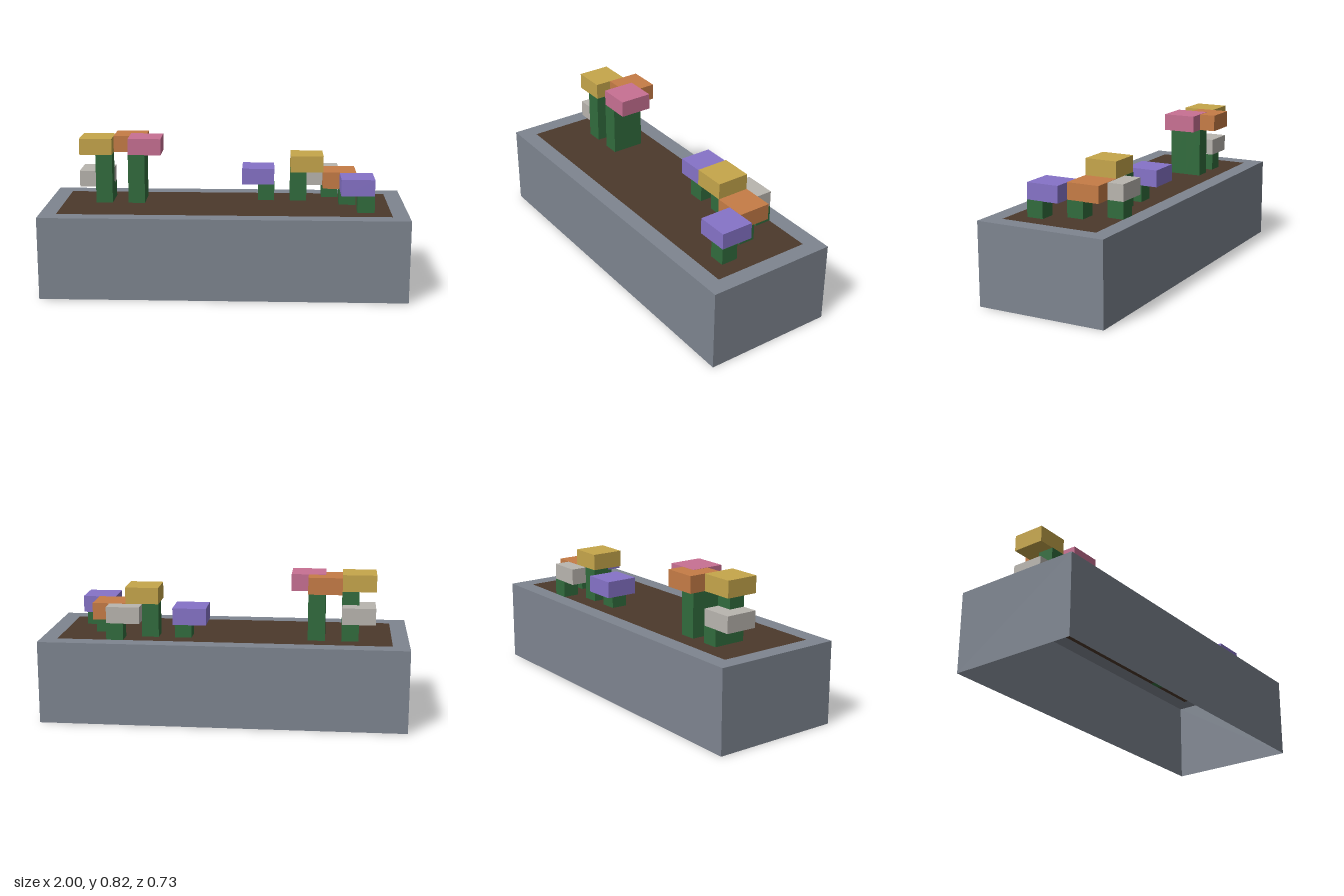
import * as THREE from 'three';

const U = 1 / 11; // block grid unit

const mat = (name, color, side = THREE.FrontSide) => {
  const m = new THREE.MeshStandardMaterial({ color, side });
  m.name = name;
  return m;
};

// Box given by its lowest corner and size in grid units; pad swells it sideways and upward
function block(name, material, [x, y, z], [w, h, d], pad = 0) {
  const g = new THREE.BoxGeometry(w * U + 2 * pad, h * U + pad, d * U + 2 * pad);
  const mesh = new THREE.Mesh(g, material);
  mesh.name = name;
  mesh.position.set((x + w / 2) * U, (y + h / 2) * U + pad / 2, (z + d / 2) * U);
  return mesh;
}

const rect = (C, hw, hd) => new C([[-hw, -hd], [hw, -hd], [hw, hd], [-hw, hd]]
  .map(([x, y]) => new THREE.Vector2(x * U, y * U)));

export function createModel() {
  const model = new THREE.Group();
  model.name = 'flowerPlanter';

  const stone = mat('stone', 0x7e8590, THREE.DoubleSide);
  const soilMat = mat('soil', 0x4c392b, THREE.DoubleSide);
  const green = mat('stemGreen', 0x316c3d);
  const petals = {
    yellow: mat('yellowPetal', 0xc6a64b),
    orange: mat('orangePetal', 0xc67c46),
    pink: mat('pinkPetal', 0xc87093),
    purple: mat('purplePetal', 0x8673c8),
    white: mat('palePetal', 0xb9b5af),
  };

  // Planter: four thin walls, open underneath
  const planter = new THREE.Group();
  planter.name = 'planter';
  for (let i = 0; i < 4; i++) {
    const long = i % 2 === 0;
    const wall = new THREE.Mesh(new THREE.PlaneGeometry((long ? 22 : 8) * U, 5 * U), stone);
    wall.name = ['frontWall', 'leftWall', 'backWall', 'rightWall'][i];
    wall.rotation.y = i * Math.PI / 2;
    wall.position.y = 2.5 * U;
    wall.translateZ((long ? 4 : 11) * U);
    planter.add(wall);
  }

  // Rim around the soil bed
  const rimShape = rect(THREE.Shape, 11, 4);
  rimShape.holes.push(rect(THREE.Path, 10, 3));
  const rim = new THREE.Mesh(new THREE.ShapeGeometry(rimShape), stone);
  rim.name = 'rim';
  const soil = new THREE.Mesh(new THREE.PlaneGeometry(20 * U, 6 * U), soilMat);
  soil.name = 'soil';
  for (const m of [rim, soil]) {
    m.rotation.x = -Math.PI / 2;
    m.position.y = 5 * U;
    planter.add(m);
  }
  model.add(planter);

  // Flowers: petal colour, bloom corner x z, stem corner x z, stem height, bloom pad
  const flowers = [
    ['yellow', -9, -2, -8, -1, 3, 0],
    ['white', -9, -2, -8, -2, 1, 0],
    ['orange', -7, -3, -6, -2, 3, 0],
    ['pink', -6, -2, -6, -1, 3, 0.001],
    ['purple', 1, -3, 2, -2, 1, 0],
    ['yellow', 4, -2, 4, -2, 2, 0],
    ['white', 5, -3, 6, -3, 1, 0],
    ['orange', 6, -2, 7, -1, 1, 0.001],
    ['purple', 7, 0, 8, 1, 1, 0],
  ];
  for (const [colour, bx, bz, sx, sz, h, pad] of flowers) {
    const flower = new THREE.Group();
    flower.name = colour + 'Flower';
    flower.add(
      block('stem', green, [sx, 5, sz], [1, h, 1], 0.001),
      block('bloom', petals[colour], [bx, 5 + h, bz], [2, 1, 2], pad),
    );
    model.add(flower);
  }
  return model;
}
